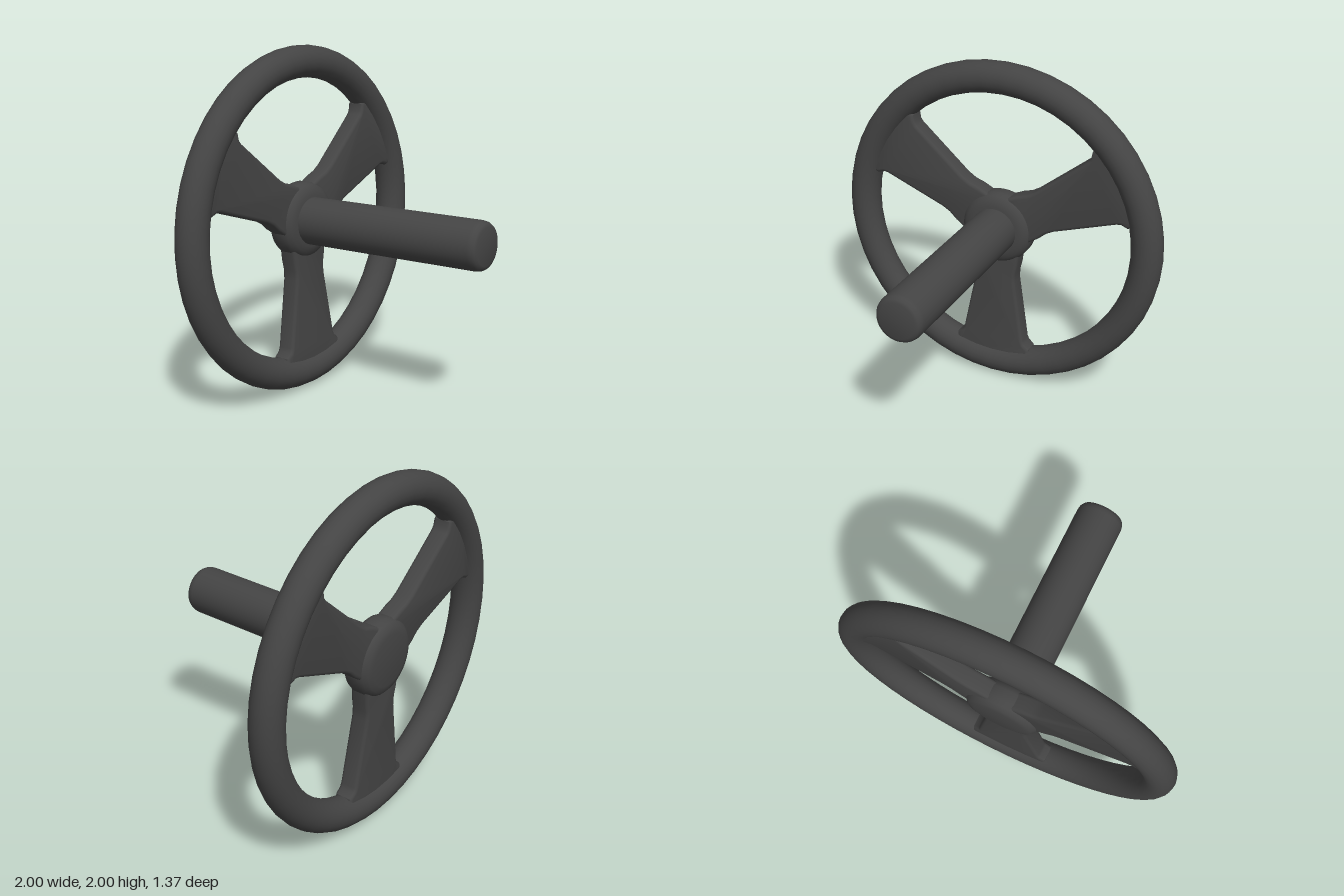
import * as THREE from 'three';
import { toCreasedNormals } from 'three/addons/utils/BufferGeometryUtils.js';

const material = new THREE.MeshStandardMaterial({ color: 0x444444 });

function addPart(parent, name, geometry) {
  const mesh = new THREE.Mesh(geometry, material);
  mesh.name = name;
  parent.add(mesh);
  return mesh;
}

// Turned part along z from [radius, z] pairs, listed back to front
function turned(profile) {
  const points = profile.map(([r, z]) => new THREE.Vector2(r, z));
  return toCreasedNormals(new THREE.LatheGeometry(points, 40).rotateX(Math.PI / 2), 0.7);
}

// Spoke outline pointing along +x: wider at the rim, with small fillets at both ends
function spokeGeometry() {
  const bevel = 0.02;
  const edge = [[0.1, 0.15], [0.22, 0.14], [0.28, 0.127], [0.34, 0.128], [0.735, 0.197],
    [0.765, 0.21], [0.79, 0.24], [0.87, 0.25]];
  const outline = [
    ...edge.map(([x, y]) => new THREE.Vector2(x, -y + bevel)),
    ...edge.map(([x, y]) => new THREE.Vector2(x, y - bevel)).reverse(),
  ];
  const depth = 0.07;
  const geometry = new THREE.ExtrudeGeometry(new THREE.Shape(outline), {
    depth, bevelEnabled: true, bevelThickness: bevel, bevelSize: bevel, bevelSegments: 3,
  });
  geometry.translate(0, 0, -depth / 2);
  return toCreasedNormals(geometry, 0.7);
}

export function createModel() {
  const model = new THREE.Group();

  // The whole wheel leans slightly on its column
  const wheel = new THREE.Group();
  wheel.name = 'steeringWheel';
  wheel.position.set(0, 1.0, -0.562);
  wheel.rotation.set(-0.032, 0.013, 0);
  model.add(wheel);

  addPart(wheel, 'rim', new THREE.TorusGeometry(0.908, 0.092, 20, 48));

  // Hub with rounded edges, standing proud of the spokes on both sides
  addPart(wheel, 'hub', turned([
    [0, -0.09], [0.15, -0.088], [0.185, -0.08], [0.208, -0.06], [0.22, -0.03],
    [0.22, 0.03], [0.208, 0.055], [0.185, 0.075], [0.15, 0.085], [0, 0.085],
  ]));

  // Column with a rounded free end
  addPart(wheel, 'column', turned([
    [0.137, 0.0], [0.137, 1.195], [0.133, 1.217], [0.123, 1.234], [0.105, 1.241], [0, 1.241],
  ]));

  // Three evenly spaced spokes
  const spoke = spokeGeometry();
  for (let i = 0; i < 3; i++) {
    addPart(wheel, 'spoke' + (i + 1), spoke).rotation.z = -Math.PI / 2 + (i * Math.PI * 2) / 3;
  }

  return model;
}
